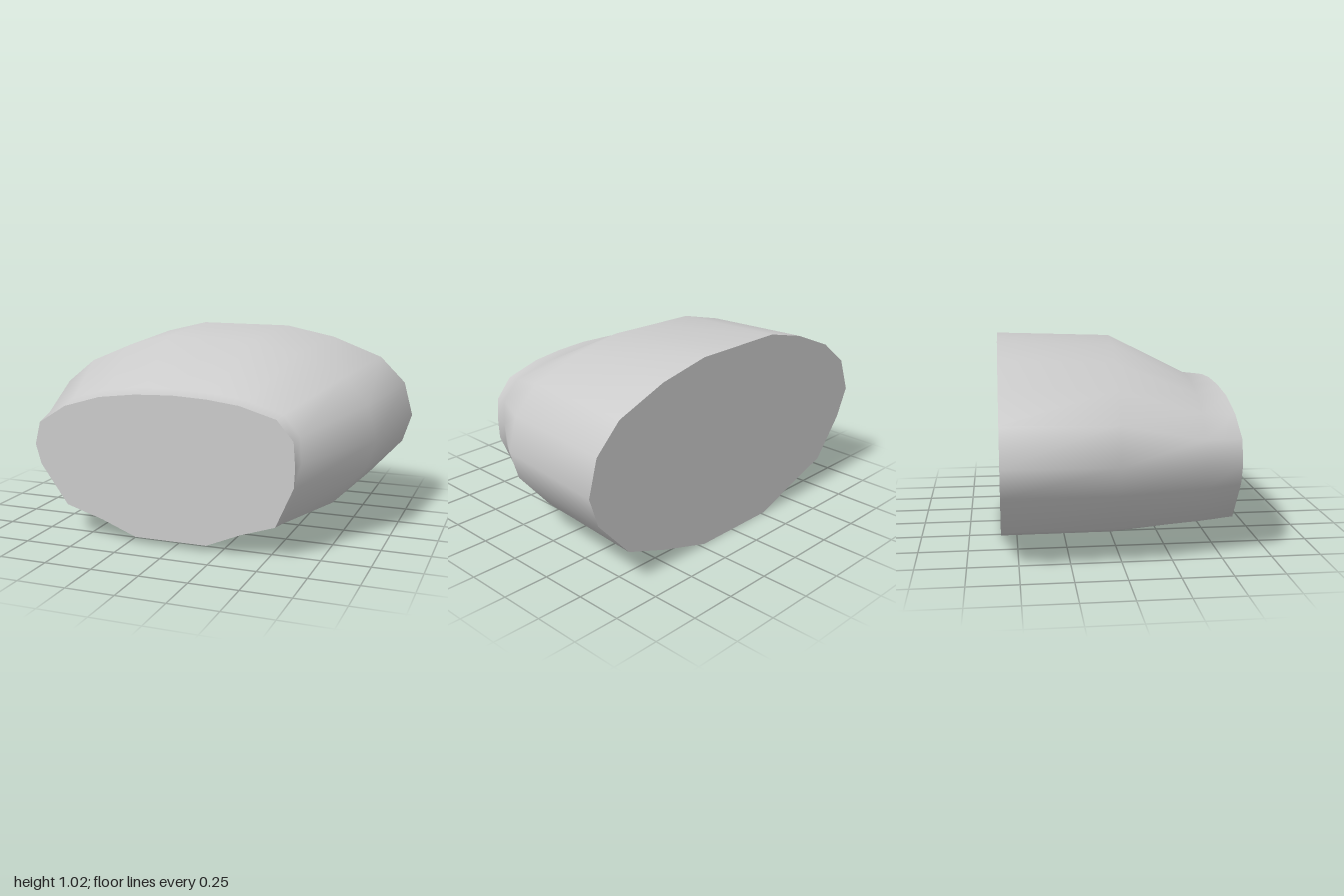
import * as THREE from 'three';

// Cross-sections [x, y], anticlockwise from bottom left, sharing one point count.
const BACK = [
  [-0.27, 0.005], [0.22, 0.005], [0.51, 0.09], [0.76, 0.18], [0.95, 0.39], [1, 0.545], [0.95, 0.73],
  [0.81, 0.87], [0.53, 0.975], [0.25, 1.03], [0, 1.03], [-0.27, 1.03], [-0.51, 0.97], [-0.76, 0.865],
  [-0.93, 0.73], [-1, 0.545], [-0.93, 0.39], [-0.76, 0.175], [-0.51, 0.09],
];
const FRONT = [
  [-0.21, 0.038], [0.18, 0.038], [0.36, 0.115], [0.54, 0.175], [0.63, 0.38], [0.635, 0.48], [0.625, 0.61],
  [0.54, 0.71], [0.35, 0.765], [0.18, 0.785], [0, 0.793], [-0.2, 0.785], [-0.4, 0.76], [-0.6, 0.7],
  [-0.75, 0.605], [-0.78, 0.485], [-0.75, 0.38], [-0.6, 0.172], [-0.4, 0.112],
];
const END = 0.583;

// Turns a 2D section into a ring; slant skews it so the two sides bend at different depths.
const ring = (section, z, slant, fn = (x, y) => [x, y]) =>
  section.map(([x, y]) => {
    const [px, py] = fn(x, y);
    return [px, py, z + slant * px];
  });

// Smooth skin through the rings, listed back to front.
function loft(rings) {
  const n = rings[0].length;
  const index = [];
  for (let k = 0; k < rings.length - 1; k++) {
    for (let j = 0; j < n; j++) {
      const a = k * n + j, b = k * n + (j + 1) % n;
      index.push(a, b, a + n, b, b + n, a + n);
    }
  }
  const geometry = new THREE.BufferGeometry();
  geometry.setAttribute('position', new THREE.Float32BufferAttribute(rings.flat(2), 3));
  geometry.setIndex(index);
  geometry.computeVertexNormals();
  return geometry;
}

const capShape = (section) => new THREE.Shape(section.map(([x, y]) => new THREE.Vector2(x, y)));

export function createModel() {
  const group = new THREE.Group();
  group.name = 'taperedShell';
  const material = new THREE.MeshStandardMaterial({ color: 0xcccccc });
  const add = (name, geometry) => {
    const mesh = new THREE.Mesh(geometry, material);
    mesh.name = name;
    group.add(mesh);
  };

  // Body: nearly straight at the back, tapering forward to a short lip
  add('body', loft([
    ring(BACK, -END, 0),
    ring(BACK, 0.03, 0.068, (x, y) => [x * (x > 0 ? 0.925 : 0.98), 0.005 + (y - 0.005) * 0.981]),
    ring(FRONT, 0.46, 0.08, (x, y) => [x * (x > 0 ? 1.018 : 1.07), y + (y > 0.4 ? 0.01 : -0.005)]),
    ring(FRONT, END, 0),
  ]));

  // Flat end faces
  add('frontFace', new THREE.ShapeGeometry(capShape(FRONT)).translate(0, 0, END));
  const mirrored = BACK.map(([x, y]) => [-x, y]).reverse();
  add('backFace', new THREE.ShapeGeometry(capShape(mirrored)).rotateY(Math.PI).translate(0, 0, -END));

  return group;
}
